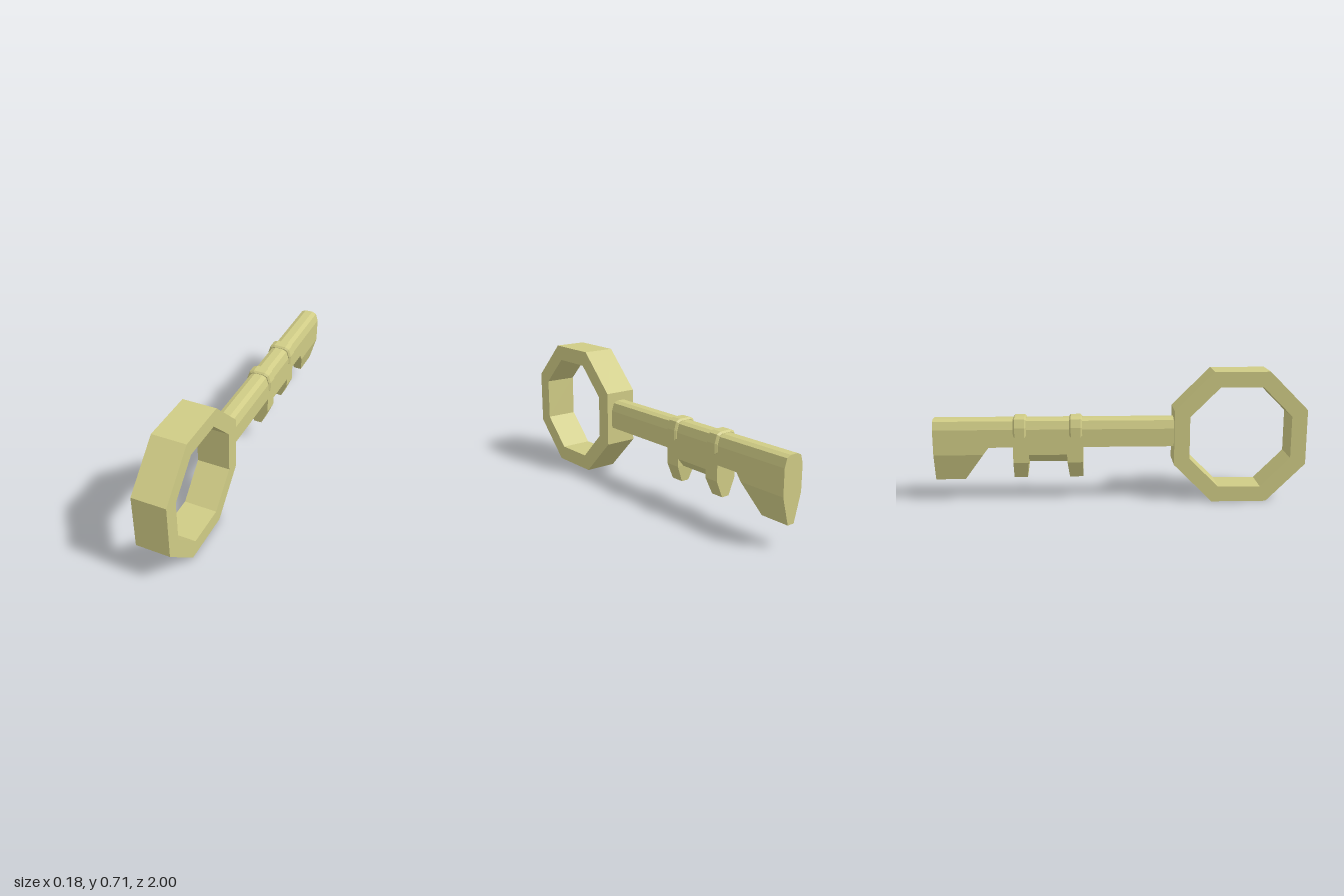
import * as THREE from 'three';

const material = new THREE.MeshStandardMaterial({ color: 0xcfcb85, flatShading: true });

function part(name, geometry) {
  const mesh = new THREE.Mesh(geometry, material);
  mesh.name = name;
  return mesh;
}

const points = (list) => list.map(([x, y]) => new THREE.Vector2(x, y));

// Octagon with its own half size and half length of the straight sides
function octagon(cx, cy, r, s) {
  return points([[s, -r], [r, -s], [r, s], [s, r], [-s, r], [-r, s], [-r, -s], [-s, -r]]
    .map(([x, y]) => [cx + x, cy + y]));
}

// Flat-sided cross-section with a rounded-over top
function archShape(half, bottom, top) {
  const right = [[half, bottom], [half, top - 0.055], [half - 0.014, top - 0.011], [half - 0.038, top]];
  const left = right.map(([x, y]) => [-x, y]).reverse();
  return new THREE.Shape(points([...right, ...left]));
}

// Block tapering downward; rows run top to bottom as [y, halfWidth, zFront, zBack]
function taperedBlock(rows) {
  const rings = rows.map(([y, w, z0, z1]) => [[w, y, z0], [w, y, z1], [-w, y, z1], [-w, y, z0]]);
  const verts = [];
  const quad = (a, b, c, d) => verts.push(...a, ...b, ...c, ...a, ...c, ...d);
  for (let i = 0; i < rings.length - 1; i++) {
    for (let k = 0; k < 4; k++) {
      const n = (k + 1) % 4;
      quad(rings[i + 1][k], rings[i + 1][n], rings[i][n], rings[i][k]);
    }
  }
  const [a, b, c, d] = rings[rings.length - 1];
  quad(d, c, b, a);
  const geometry = new THREE.BufferGeometry();
  geometry.setAttribute('position', new THREE.Float32BufferAttribute(verts, 3));
  geometry.computeVertexNormals();
  return geometry;
}

export function createModel() {
  const key = new THREE.Group();
  key.name = 'key';

  // Octagonal handle ring
  const ring = new THREE.Shape(octagon(0.645, 0.356, 0.356, 0.148));
  ring.holes.push(new THREE.Path(octagon(0.645, 0.356, 0.273, 0.114)));
  const ringGeometry = new THREE.ExtrudeGeometry(ring, { depth: 0.18, bevelEnabled: false });
  ringGeometry.translate(0, 0, -0.09).rotateY(-Math.PI / 2);
  key.add(part('handleRing', ringGeometry));

  // Shaft
  const shaft = new THREE.ExtrudeGeometry(archShape(0.06, 0.305, 0.457), { depth: 1.29, bevelEnabled: false });
  shaft.translate(0, 0, -1);
  key.add(part('shaft', shaft));

  // Two raised bands with bevelled rims
  for (const [name, back] of [['frontBand', -0.273], ['backBand', -0.573]]) {
    const band = new THREE.ExtrudeGeometry(archShape(0.071, 0.36, 0.468), {
      depth: 0.052, bevelSize: 0.009, bevelThickness: 0.009, bevelOffset: -0.009, bevelSegments: 1,
    });
    band.translate(0, 0, back + 0.009);
    key.add(part(name, band));
  }

  // Middle bit: two teeth joined by a web
  key.add(part('frontTooth', taperedBlock([
    [0.305, 0.06, -0.2, -0.287], [0.22, 0.06, -0.2, -0.284], [0.13, 0.022, -0.2, -0.273]])));
  key.add(part('backTooth', taperedBlock([
    [0.305, 0.06, -0.489, -0.575], [0.22, 0.06, -0.492, -0.575], [0.13, 0.022, -0.503, -0.575]])));
  key.add(part('toothWeb', taperedBlock([
    [0.305, 0.06, -0.284, -0.492], [0.263, 0.06, -0.284, -0.492], [0.218, 0.022, -0.28, -0.496]])));

  // Slanted bit at the tip
  key.add(part('tipBit', taperedBlock([
    [0.305, 0.06, -0.705, -1], [0.265, 0.06, -0.735, -1], [0.12, 0.02, -0.84, -1]])));

  return key;
}
